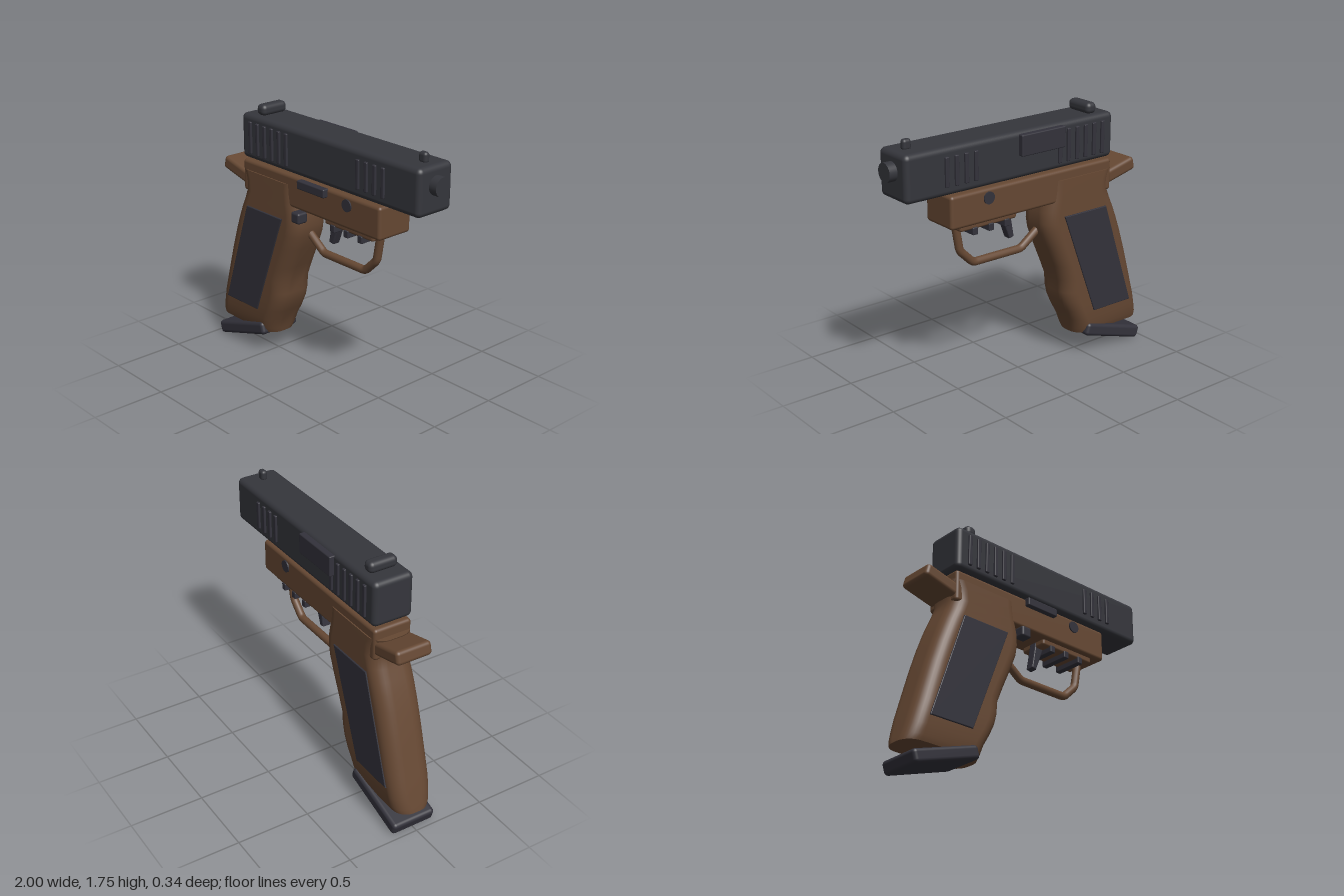
import * as THREE from 'three';
import { RoundedBoxGeometry } from 'three/addons/geometries/RoundedBoxGeometry.js';

const steel = new THREE.MeshStandardMaterial({ color: 0x35363c });
steel.name = 'slide steel';
const dark = new THREE.MeshStandardMaterial({ color: 0x33323b });
dark.name = 'dark fittings';
const brown = new THREE.MeshStandardMaterial({ color: 0x664833 });
brown.name = 'brown frame';

export function createModel() {
  const model = new THREE.Group();
  model.name = 'sidearm';

  const add = (name, geometry, material, x = 0, y = 0, z = 0) => {
    const mesh = new THREE.Mesh(geometry, material);
    mesh.name = name;
    mesh.position.set(x, y, z);
    model.add(mesh);
    return mesh;
  };
  // Rounded box given by its extents on each axis
  const block = (name, material, [x0, x1], [y0, y1], [z0, z1], r = 0.01) =>
    add(name, new RoundedBoxGeometry(x1 - x0, y1 - y0, z1 - z0, 4, r), material,
      (x0 + x1) / 2, (y0 + y1) / 2, (z0 + z1) / 2);
  // Flat outline extruded symmetrically about z
  const plate = (points, depth, bevel) => {
    const shape = new THREE.Shape(points.map(([x, y]) => new THREE.Vector2(x, y)));
    const geometry = new THREE.ExtrudeGeometry(shape, {
      depth: depth - 2 * bevel, bevelEnabled: bevel > 0, bevelSize: bevel,
      bevelThickness: bevel, bevelOffset: -bevel, bevelSegments: 2,
    });
    return geometry.translate(0, 0, -depth / 2 + bevel);
  };

  // Slide with sights and muzzle
  block('slide', steel, [-0.68, 0.945], [1.392, 1.695], [-0.14, 0.14], 0.035);
  block('rearSight', steel, [-0.575, -0.495], [1.69, 1.765], [-0.1, 0.1], 0.03);
  block('frontSight', steel, [0.812, 0.873], [1.685, 1.755], [-0.022, 0.022], 0.02);
  add('muzzle', new THREE.CylinderGeometry(0.061, 0.061, 0.12, 32), steel, 0.94, 1.575, 0)
    .rotation.z = -Math.PI / 2;
  block('ejectionPort', dark, [-0.25, 0.103], [1.54, 1.678], [-0.173, -0.12], 0.008);

  // Grip serrations on both flanks of the slide
  for (const side of [-1, 1]) {
    const z = [side * 0.14 - 0.014, side * 0.14 + 0.014];
    for (let i = 0; i < 6; i++) {
      const x = -0.583 + i * 0.0716;
      block('rearSerration', dark, [x - 0.014, x + 0.014], [1.433, 1.65], z, 0.006);
    }
    for (let i = 0; i < 4; i++) {
      const x = 0.437 + i * 0.072;
      block('frontSerration', dark, [x - 0.014, x + 0.014], [1.45, 1.64], z, 0.006);
    }
  }

  // Frame, tail and underside rail
  block('frame', brown, [-0.68, 0.62], [1.16, 1.377], [-0.133, 0.133], 0.022);
  const tail = add('tail', new RoundedBoxGeometry(0.28, 0.092, 0.25, 4, 0.025), brown, -0.768, 1.268, 0);
  tail.rotation.z = -0.24;
  block('rail', brown, [0.09, 0.53], [1.122, 1.18], [-0.1, 0.1], 0.015);
  for (const x of [0.17, 0.295, 0.42]) {
    block('railRib', dark, [x - 0.02, x + 0.02], [1.086, 1.135], [-0.107, 0.107], 0.006);
  }

  // Grip lofted through rounded-rectangle sections: y, back x, front x, half width
  const sections = [
    [0.165, -1.0, -0.43, 0.122], [0.2, -0.993, -0.42, 0.135], [0.27, -0.975, -0.398, 0.144],
    [0.35, -0.955, -0.355, 0.149], [0.43, -0.932, -0.318, 0.15], [0.5, -0.913, -0.301, 0.15],
    [0.59, -0.888, -0.294, 0.15], [0.7, -0.857, -0.25, 0.15], [0.85, -0.81, -0.185, 0.15],
    [0.95, -0.774, -0.146, 0.15], [1.02, -0.747, -0.133, 0.149], [1.1, -0.712, -0.135, 0.147],
    [1.17, -0.686, -0.15, 0.145], [1.25, -0.695, -0.16, 0.143], [1.31, -0.72, -0.16, 0.141],
  ];
  add('grip', loftGeometry(sections, 0.1), brown);

  // Textured side panels
  for (const side of [-1, 1]) {
    const outline = [[-0.866, 0.33], [-0.54, 0.33], [-0.267, 1.063], [-0.625, 1.063]];
    add('gripPanel', plate(outline, 0.03, 0.005), dark, 0, 0, side * 0.142);
  }

  // Tilted base plate
  const base = add('basePlate', new RoundedBoxGeometry(0.505, 0.09, 0.312, 4, 0.025), dark, -0.727, 0.123, 0);
  base.rotation.z = 0.305;

  // Trigger and guard
  add('trigger', plate([[0.055, 0.97], [0.092, 0.962], [0.155, 1.13], [0.15, 1.17], [0.09, 1.17]], 0.06, 0.008), dark);
  const path = new THREE.CurvePath();
  const bends = [[0.5, 1.15], [0.467, 0.96], [0.365, 0.861], [-0.02, 0.861], [-0.19, 0.985]]
    .map(([x, y]) => new THREE.Vector3(x, y, 0));
  // Straight runs joined by short curved corners
  let from = bends[0];
  for (let i = 1; i < bends.length - 1; i++) {
    const toward = (p) => bends[i].clone().add(p.clone().sub(bends[i]).setLength(0.025));
    const a = toward(bends[i - 1]);
    const b = toward(bends[i + 1]);
    path.add(new THREE.LineCurve3(from, a));
    path.add(new THREE.QuadraticBezierCurve3(a, bends[i], b));
    from = b;
  }
  path.add(new THREE.LineCurve3(from, bends[bends.length - 1]));
  add('triggerGuard', new THREE.TubeGeometry(path, 120, 0.027, 14, false), brown);

  // Controls
  block('slideStop', dark, [-0.1, 0.155], [1.32, 1.377], [0.12, 0.167], 0.008);
  block('magazineRelease', dark, [-0.157, -0.08], [1.078, 1.152], [0.09, 0.17], 0.015);
  add('framePin', new THREE.CylinderGeometry(0.04, 0.04, 0.284, 28), dark, 0.335, 1.317, 0)
    .rotation.x = Math.PI / 2;

  return model;
}

// Closed loft through horizontal rounded rectangles
function loftGeometry(sections, radius) {
  const steps = 8;
  const ring = 4 * (steps + 1);
  const positions = [];
  const index = [];
  const signs = [[1, 1], [-1, 1], [-1, -1], [1, -1]];
  const addRing = ([y, back, front, halfZ]) => {
    const halfX = (front - back) / 2;
    signs.forEach(([sx, sz], corner) => {
      for (let s = 0; s <= steps; s++) {
        const a = (corner + s / steps) * Math.PI / 2;
        positions.push(
          (back + front) / 2 + sx * (halfX - radius) + radius * Math.cos(a), y,
          sz * (halfZ - radius) + radius * Math.sin(a));
      }
    });
  };
  sections.forEach(addRing);
  for (let i = 0; i < sections.length - 1; i++) {
    for (let j = 0; j < ring; j++) {
      const a = i * ring + j;
      const b = i * ring + (j + 1) % ring;
      index.push(a, a + ring, b, b, a + ring, b + ring);
    }
  }
  // Flat end caps with their own vertices
  [sections[0], sections[sections.length - 1]].forEach((section, top) => {
    const start = positions.length / 3;
    addRing(section);
    for (let j = 1; j < ring - 1; j++) {
      if (top) index.push(start, start + j + 1, start + j);
      else index.push(start, start + j, start + j + 1);
    }
  });
  const geometry = new THREE.BufferGeometry();
  geometry.setAttribute('position', new THREE.Float32BufferAttribute(positions, 3));
  geometry.setIndex(index);
  geometry.computeVertexNormals();
  return geometry;
}
